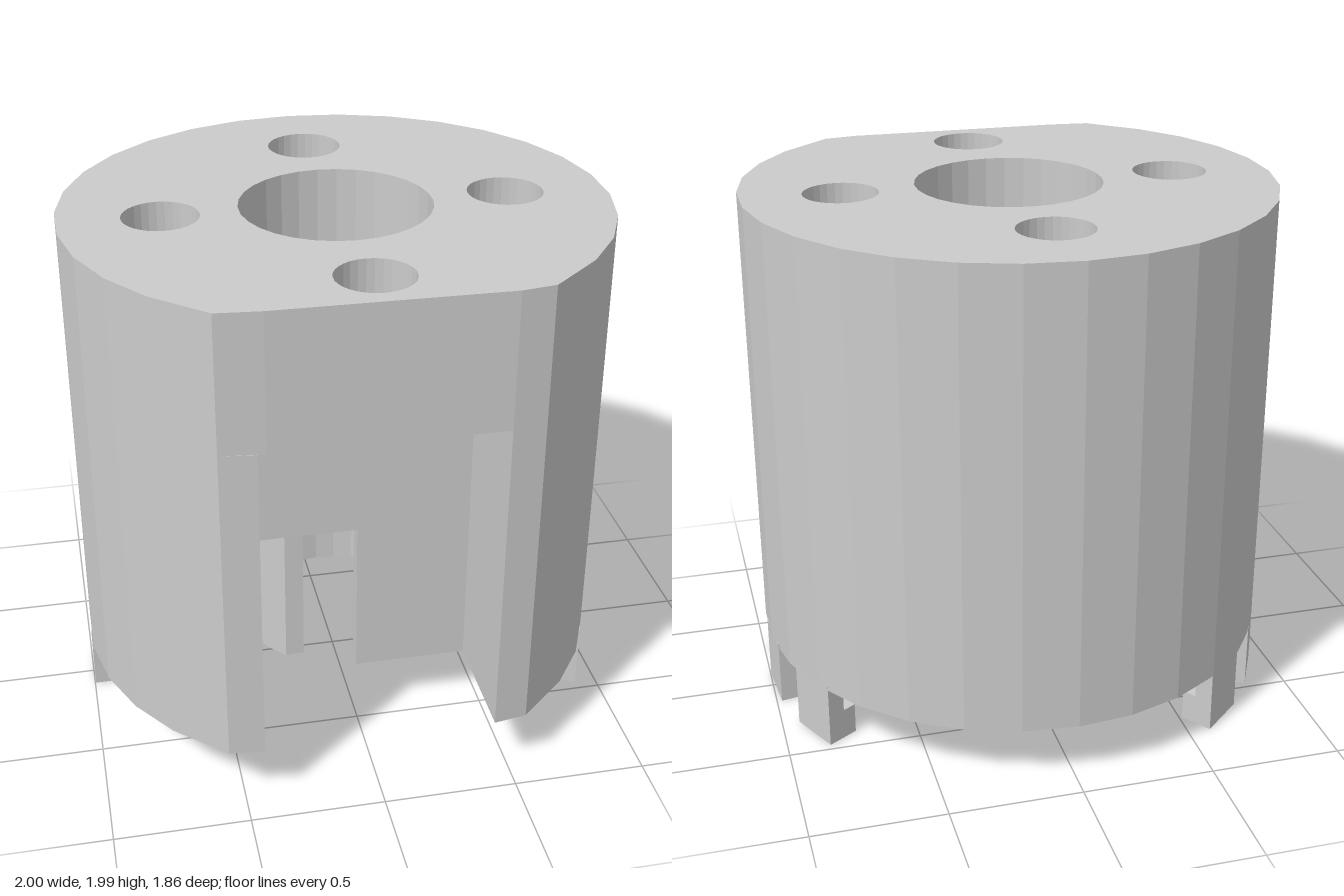
import * as THREE from 'three';

const grey = new THREE.MeshStandardMaterial({ color: 0xcccccc, flatShading: true });
const BOTTOM = 0.24, SILL = 0.86, CEILING = 1.48, TOP = 1.99;
const R = 1, WALL = 0.055, TUBE_OUT = 0.395, TUBE_IN = 0.352;
const rad = THREE.MathUtils.degToRad;

// Plan point [x, z] at an angle measured from the front (+z) towards +x
const polar = (r, deg) => [r * Math.sin(rad(deg)), r * Math.cos(rad(deg))];

function arc(r, a0, a1, n) {
  return Array.from({ length: n + 1 }, (_, i) => polar(r, a0 + (a1 - a0) * i / n));
}

function circle(r, n, cx = 0, cz = 0) {
  return arc(r, 0, 360, n).slice(0, n).map(([x, z]) => [x + cx, z + cz]);
}

const toVectors = (pts) => pts.map(([x, z]) => new THREE.Vector2(x, -z));

// Vertical prism over a plan outline, with optional holes
function prism(name, outline, y0, y1, holes = []) {
  const shape = new THREE.Shape(toVectors(outline));
  holes.forEach((h) => shape.holes.push(new THREE.Path(toVectors(h))));
  const geo = new THREE.ExtrudeGeometry(shape, { depth: y1 - y0, bevelEnabled: false });
  geo.rotateX(-Math.PI / 2).translate(0, y0, 0);
  const mesh = new THREE.Mesh(geo, grey);
  mesh.name = name;
  return mesh;
}

const rect = (x0, x1, z0, z1) => [[x0, z0], [x1, z0], [x1, z1], [x0, z1]];

export function createModel() {
  const group = new THREE.Group();
  group.name = 'housing';
  const body = new THREE.Group();
  body.name = 'body';
  body.position.z = 0.065;
  group.add(body);

  // Thick cap: round outline with a flat front, bore and four blind holes
  const round = arc(R, 36, 324, 24);
  const capOutline = [[0.43, 0.858], [0.555, 0.838], ...round, [-0.56, 0.835], [-0.4, 0.85]];
  const bore = circle(TUBE_IN, 30);
  const blind = [0, 90, 180, 270].map((a) => circle(0.14, 30, ...polar(a === 0 ? 0.65 : 0.63, a)));
  body.add(prism('capUpper', capOutline, 1.6, TOP, [bore, ...blind]));
  body.add(prism('capLower', capOutline, CEILING, 1.6, [bore]));

  // Thin outer wall, open at the front for the pocket
  const inner = arc(R - WALL, 324, 36, 24);
  body.add(prism('outerWall', [
    [0.43, 0.858], [0.555, 0.838], ...round, [-0.56, 0.835], [-0.43, 0.85],
    [-0.43, 0.79], [-0.53, 0.785], ...inner, [0.53, 0.785], [0.43, 0.79],
  ], BOTTOM, CEILING));

  // Pocket walls behind the front opening, cut away low in one corner
  body.add(prism('pocketLeftWall', rect(0.43, 0.475, 0.36, 0.84), BOTTOM, CEILING));
  body.add(prism('pocketRightWallUpper', rect(-0.475, -0.43, 0.36, 0.84), SILL, CEILING));
  body.add(prism('pocketRightWallLower', rect(-0.475, -0.43, 0.63, 0.84), BOTTOM, SILL));
  body.add(prism('pocketBackUpper', rect(-0.43, 0.43, 0.36, 0.41), SILL, CEILING));
  body.add(prism('pocketBackLower', rect(0, 0.43, 0.36, 0.41), BOTTOM, SILL));

  // Central tube, slotted at the front below the sill
  body.add(prism('tubeUpper', circle(TUBE_OUT, 30), SILL, CEILING, [bore]));
  body.add(prism('tubeLower', [
    ...arc(TUBE_OUT, 0, 319.4, 27), ...arc(TUBE_IN, 328, 0, 27),
  ], BOTTOM, SILL));

  // Hooked tabs below the rim
  [72.7, 94.9, 116.6, -94.9, -116.6, -138].forEach((a) => {
    const tab = new THREE.Group();
    tab.name = 'tab';
    const sector = (rIn, rOut) => [...arc(rOut, a - 6, a + 6, 1), ...arc(rIn, a + 6, a - 6, 1)];
    tab.add(prism('tabStem', sector(0.925, 0.998), 0, BOTTOM + 0.02));
    tab.add(prism('tabHook', sector(0.87, 0.925), 0, 0.12));
    body.add(tab);
  });

  return group;
}
